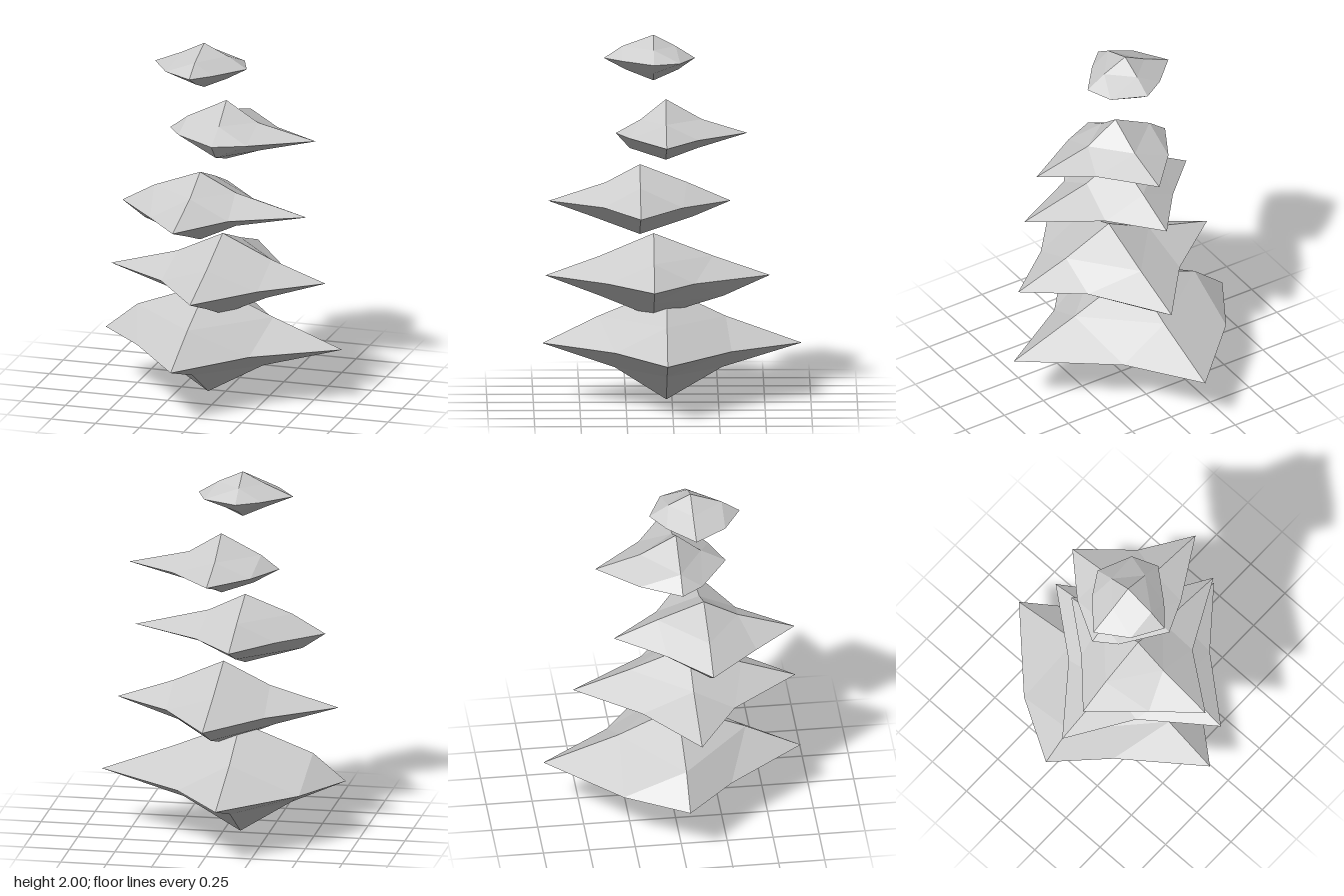
import * as THREE from 'three';

// One faceted slab per entry, from bottom to top. Pairs are [negative side, positive side].
// y: bottom, lower ring, waist, upper ring, top
// tipX / tipZ: waist corners; upX, upZ, lowX, lowZ: bends on the slopes
// diag: waist bends at back left, back right, front left, front right as seen from the front
const slabs = [
  {
    cx: -0.09, cz: 0.03, y: [0, 0.177, 0.31, 0.458, 0.61],
    tipX: [-0.67, 0.67], tipZ: [-0.7, 0.7],
    upX: [-0.49, 0.28], upZ: [-0.29, 0.4], lowX: [-0.37, 0.22], lowZ: [-0.27, 0.31],
    diag: [[-0.475, -0.31], [0.19, -0.32], [-0.41, 0.285], [0.23, 0.31]],
  },
  {
    cx: 0.015, cz: 0.1, y: [0.47, 0.588, 0.7, 0.807, 0.93],
    tipX: [-0.617, 0.597], tipZ: [-0.527, 0.685],
    upX: [-0.24, 0.29], upZ: [-0.22, 0.39], lowX: [-0.265, 0.265], lowZ: [-0.28, 0.39],
    diag: [[-0.26, -0.18], [0.29, -0.12], [-0.265, 0.32], [0.29, 0.35]],
  },
  {
    cx: -0.09, cz: 0.173, y: [0.907, 1.004, 1.09, 1.192, 1.29],
    tipX: [-0.53, 0.513], tipZ: [-0.316, 0.667],
    upX: [-0.35, 0.11], upZ: [-0.08, 0.357], lowX: [-0.405, 0.114], lowZ: [-0.114, 0.43],
    diag: [[-0.3, -0.05], [0.137, -0.058], [-0.29, 0.435], [0.13, 0.37]],
  },
  {
    cx: 0.015, cz: 0.034, y: [1.333, 1.398, 1.48, 1.555, 1.665],
    tipX: [-0.304, 0.521], tipZ: [-0.405, 0.305],
    upX: [-0.204, 0.193], upZ: [-0.161, 0.17], lowX: [-0.161, 0.204], lowZ: [-0.14, 0.23],
    diag: [[-0.185, -0.185], [0.25, -0.14], [-0.22, 0.15], [0.19, 0.23]],
  },
  {
    cx: -0.09, cz: 0.1, y: [1.75, 1.81, 1.873, 1.938, 2],
    tipX: [-0.368, 0.151], tipZ: [-0.124, 0.368],
    upX: [-0.214, 0.045], upZ: [-0.02, 0.27], lowX: [-0.22, 0.04], lowZ: [-0.034, 0.25],
    diag: [[-0.22, -0.045], [0.095, -0.043], [-0.255, 0.27], [0.013, 0.27]],
  },
];

// Octahedron with every edge bent at its middle: four triangles per octant
function slabGeometry(s) {
  const positions = [];
  for (const i of [0, 1]) for (const j of [0, 1]) for (const k of [0, 1]) {
    const ringY = j ? s.y[3] : s.y[1];
    const X = [s.tipX[i], s.y[2], s.cz];
    const Y = [s.cx, j ? s.y[4] : s.y[0], s.cz];
    const Z = [s.cx, s.y[2], s.tipZ[k]];
    const XY = [(j ? s.upX : s.lowX)[i], ringY, s.cz];
    const YZ = [s.cx, ringY, (j ? s.upZ : s.lowZ)[k]];
    const [dx, dz] = s.diag[k * 2 + i];
    const ZX = [dx, s.y[2], dz];
    const outward = (i + j + k) % 2 === 1; // mirrored octants need reversed corners
    for (const [a, b, c] of [[X, XY, ZX], [XY, Y, YZ], [ZX, YZ, Z], [XY, YZ, ZX]]) {
      positions.push(...a, ...(outward ? b : c), ...(outward ? c : b));
    }
  }
  const geometry = new THREE.BufferGeometry();
  geometry.setAttribute('position', new THREE.Float32BufferAttribute(positions, 3));
  geometry.computeVertexNormals();
  return geometry;
}

export function createModel() {
  const group = new THREE.Group();
  group.name = 'facetedStack';
  const material = new THREE.MeshStandardMaterial({ color: 0xcccccc, flatShading: true });
  slabs.forEach((s, n) => {
    const mesh = new THREE.Mesh(slabGeometry(s), material);
    mesh.name = `tier${n + 1}`;
    group.add(mesh);
  });
  return group;
}
